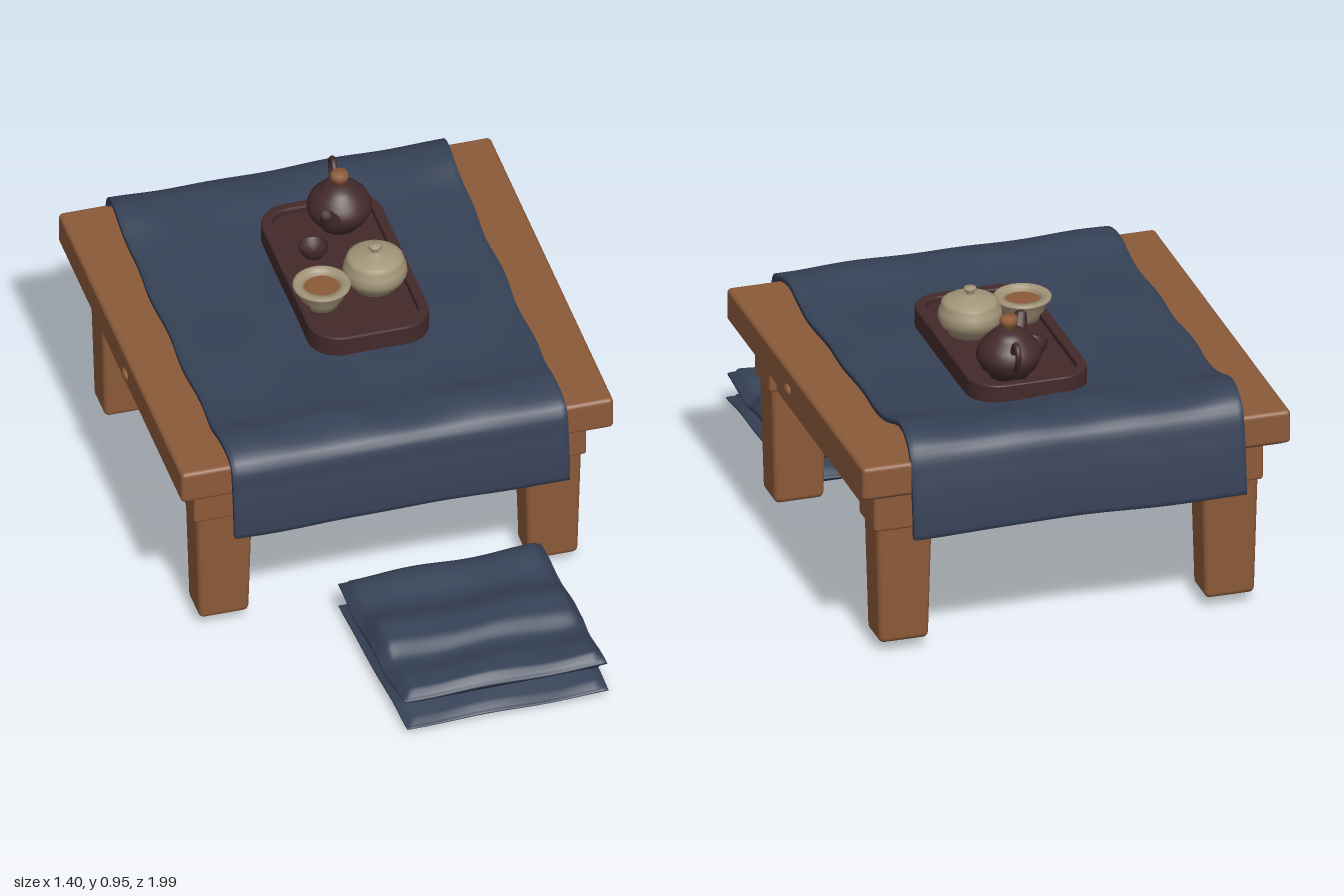
import * as THREE from 'three';
import { mergeVertices } from 'three/addons/utils/BufferGeometryUtils.js';
import { RoundedBoxGeometry } from 'three/addons/geometries/RoundedBoxGeometry.js';

const material = (name, color, side = THREE.FrontSide) =>
  Object.assign(new THREE.MeshStandardMaterial({ color, side }), { name });

export function createModel() {
  const model = new THREE.Group();
  model.name = 'lowTableWithTeaSet';
  const wood = material('wood', 0x8c5a3a);
  const cloth = material('blueCloth', 0x364156);
  const clay = material('darkClay', 0x432a2b, THREE.DoubleSide);
  const ceramic = material('paleCeramic', 0xa39579, THREE.DoubleSide);

  const add = (name, geometry, mat, x = 0, y = 0, z = 0, parent = model) => {
    const mesh = new THREE.Mesh(geometry, mat);
    mesh.name = name;
    mesh.position.set(x, y, z);
    parent.add(mesh);
    return mesh;
  };
  const block = (w, h, d, r = 0.014) => new RoundedBoxGeometry(w, h, d, 3, r);
  const lathe = (points) =>
    new THREE.LatheGeometry(points.map(([x, y]) => new THREE.Vector2(x, y)), 40);
  // Moves every vertex by a rule, then smooths the result
  const reshape = (geometry, rule) => {
    const p = geometry.attributes.position, v = new THREE.Vector3();
    for (let i = 0; i < p.count; i++) {
      rule(v.fromBufferAttribute(p, i));
      p.setXYZ(i, v.x, v.y, v.z);
    }
    geometry.deleteAttribute('uv');
    geometry.deleteAttribute('normal');
    const smooth = mergeVertices(geometry);
    smooth.computeVertexNormals();
    return smooth;
  };
  const ramp = (pairs) => (z) => {
    for (let i = 1; i < pairs.length; i++) {
      const [a, ya] = pairs[i - 1], [b, yb] = pairs[i];
      if (z <= b || i === pairs.length - 1)
        return THREE.MathUtils.lerp(ya, yb, THREE.MathUtils.smoothstep(z, a, b));
    }
  };

  // Table
  const table = new THREE.Group();
  table.name = 'table';
  table.position.z = -0.27;
  model.add(table);
  add('tableTop', block(1.38, 0.11, 1.37), wood, 0, 0.635, 0, table);
  add('tableUnderside', new THREE.BoxGeometry(1.34, 0.008, 1.33), clay, 0, 0.578, 0, table);
  for (const s of [-1, 1]) {
    add('sideApron', block(0.05, 0.148, 1.1, 0.008), wood, s * 0.58, 0.504, 0, table);
    add('endApron', block(1.12, 0.148, 0.05, 0.008), wood, 0, 0.504, s * 0.55, table);
    const peg = add('peg', new THREE.SphereGeometry(0.025, 20, 12), wood, s * 0.69, 0.622, 0.065, table);
    peg.scale.set(0.5, 0.75, 1);
    for (const t of [-1, 1]) {
      add('legBlock', block(0.2, 0.15, 0.155, 0.01), wood, s * 0.527, 0.503, t * 0.525, table);
      const leg = reshape(block(0.185, 0.46, 0.14, 0.02), (v) => {
        const k = THREE.MathUtils.clamp((0.23 - v.y) / 0.46, 0, 1);
        v.x = s * (0.525 + v.x * s * (1 - 0.14 * k));
        v.z *= 1 - 0.07 * k;
      });
      add('leg', leg, wood, 0, 0.27, t * 0.524, table);
    }
  }

  // Runner draped over both ends of the table
  const drape = new THREE.CatmullRomCurve3([
    [-0.975, 0.445], [-0.97, 0.52], [-0.955, 0.63], [-0.935, 0.705], [-0.89, 0.728],
    [-0.8, 0.728], [-0.68, 0.712], [-0.5, 0.704], [-0.2, 0.702], [0.1, 0.702],
    [0.22, 0.706], [0.31, 0.718], [0.39, 0.712], [0.43, 0.69], [0.445, 0.62], [0.458, 0.53], [0.462, 0.458],
  ].map(([z, y]) => new THREE.Vector3(0, y, z)));
  const runner = reshape(new THREE.BoxGeometry(1.07, 0.02, 1, 64, 2, 130), (v) => {
    const t = THREE.MathUtils.clamp(v.z + 0.5, 0, 1), x = v.x, lift = v.y;
    const p = drape.getPointAt(t), d = drape.getTangentAt(t);
    const wave = 0.5 + 0.25 * (Math.sin(9 * x + 14 * p.z) + Math.sin(17 * x - 11 * p.z + 1));
    const flat = Math.max(d.z, 0);
    const back = Math.exp(-(((p.z + 0.82) / 0.1) ** 2)) * flat;
    const front = Math.exp(-(((p.z - 0.32) / 0.07) ** 2)) * flat;
    const corner = THREE.MathUtils.smoothstep(x, 0.25, 0.5) * 0.02 + THREE.MathUtils.smoothstep(-x, 0.35, 0.5) * 0.008;
    const out = lift + wave * 0.006;
    v.set(x - 0.005 + 0.004 * Math.sin(18 * p.z),
      p.y + d.z * out + back * (corner + 0.008 * wave) + front * 0.01 * wave
        + (1 - flat) * 0.005 * Math.sin(7 * x + 1),
      p.z - d.y * out);
  });
  add('tableRunner', runner, cloth);

  // Folded blanket, as two soft layers
  const layer = (name, w, z0, z1, bottom, top) => {
    const geometry = reshape(new THREE.BoxGeometry(2, 2, 2, 44, 6, 50), (v) => {
      const { x, y, z } = v;
      const edge = Math.pow(Math.max(0, 1 - Math.pow(Math.max(Math.abs(x), Math.abs(z)), 18)), 0.5);
      const Z = THREE.MathUtils.lerp(z0, z1, (z + 1) / 2);
      const lo = bottom(Z), hi = top(Z) + 0.006 * Math.sin(5 * x + 9 * Z);
      const mid = (lo + hi) / 2, half = (hi - lo) / 2;
      const bulge = 1 - 0.04 * y * y;
      const X = x * w / 2 * bulge * (1 - 0.02 * z * z);
      v.set(0.168 + X + (Z - 0.67) * 0.05, mid + y * half * (0.35 + 0.65 * edge),
        Z + (bulge - 1) * z * 0.3 - X * 0.02);
    });
    add(name, geometry, cloth);
  };
  layer('lowerBlanketFold', 0.66, 0.345, 0.995, () => 0.006,
    ramp([[0.34, 0.05], [0.5, 0.068], [0.7, 0.06], [0.85, 0.07], [1, 0.045]]));
  layer('upperBlanketFold', 0.665, 0.35, 0.975,
    ramp([[0.35, 0.08], [0.5, 0.062], [0.7, 0.05], [0.85, 0.062], [0.98, 0.085]]),
    ramp([[0.35, 0.15], [0.4, 0.155], [0.52, 0.135], [0.66, 0.168], [0.72, 0.162], [0.8, 0.128], [0.9, 0.145], [0.98, 0.145]]));

  // Tray with a raised rim
  const outline = (Kind, w, d, r) => {
    const s = new Kind(), a = w / 2 - r, b = d / 2 - r;
    s.absarc(a, b, r, 0, Math.PI / 2);
    s.absarc(-a, b, r, Math.PI / 2, Math.PI);
    s.absarc(-a, -b, r, Math.PI, Math.PI * 1.5);
    s.absarc(a, -b, r, Math.PI * 1.5, Math.PI * 2);
    s.closePath();
    return s;
  };
  const slab = (shape, depth) => new THREE.ExtrudeGeometry(shape, {
    depth, curveSegments: 10, bevelSize: 0.005, bevelThickness: 0.005, bevelSegments: 2,
  }).rotateX(-Math.PI / 2);
  const rim = outline(THREE.Shape, 0.374, 0.69, 0.095);
  rim.holes.push(outline(THREE.Path, 0.33, 0.646, 0.075));
  add('trayRim', slab(rim, 0.065), clay, 0.05, 0.71, -0.345);
  add('trayFloor', slab(outline(THREE.Shape, 0.345, 0.66, 0.08), 0.045), clay, 0.05, 0.71, -0.345);

  // Tapered tube, closed at the tip
  const taperedTube = (points, r0, r1) => {
    const curve = new THREE.CatmullRomCurve3(points.map((p) => new THREE.Vector3(...p)));
    const n = 20, sides = 14, geometry = new THREE.TubeGeometry(curve, n, 1, sides);
    let i = 0;
    return reshape(geometry, (v) => {
      const t = Math.floor(i++ / (sides + 1)) / n, c = curve.getPointAt(t);
      v.sub(c).multiplyScalar(t === 1 ? 0 : THREE.MathUtils.lerp(r0, r1, t)).add(c);
    });
  };

  // Teapot
  const pot = new THREE.Group();
  pot.name = 'teapot';
  pot.position.set(0.1, 0.76, -0.58);
  model.add(pot);
  add('teapotBody', lathe([[0, 0], [0.06, 0], [0.066, 0.012], [0.086, 0.032], [0.1, 0.06], [0.1, 0.08],
    [0.089, 0.106], [0.07, 0.126], [0.056, 0.134], [0.056, 0.14], [0.042, 0.15], [0.02, 0.157], [0, 0.158]]), clay, 0, 0, 0, pot);
  add('teapotKnob', lathe([[0, 0.15], [0.017, 0.152], [0.018, 0.164], [0.027, 0.172], [0.029, 0.184],
    [0.024, 0.195], [0, 0.198]]), wood, 0, 0, 0, pot);
  add('teapotSpout', taperedTube([[-0.03, 0.05, 0.05], [-0.055, 0.08, 0.09], [-0.07, 0.118, 0.11], [-0.082, 0.15, 0.128]],
    0.042, 0.016), clay, 0, 0, 0, pot);
  add('teapotHandle', taperedTube([[0.01, 0.11, -0.08], [0.012, 0.14, -0.1], [0.014, 0.152, -0.122],
    [0.014, 0.132, -0.142], [0.014, 0.1, -0.137], [0.012, 0.07, -0.115], [0.01, 0.055, -0.09]], 0.011, 0.008), clay, 0, 0, 0, pot);

  // Small dark cup
  add('smallCup', lathe([[0, 0], [0.028, 0], [0.042, 0.02], [0.046, 0.036], [0.041, 0.037], [0.034, 0.018], [0, 0.012]]),
    clay, -0.02, 0.757, -0.45);

  // Lidded bowl
  add('liddedBowl', lathe([[0, 0], [0.066, 0], [0.07, 0.015], [0.09, 0.03], [0.1, 0.055], [0.096, 0.08],
    [0.085, 0.097], [0.089, 0.103], [0.08, 0.108]]), ceramic, 0.12, 0.76, -0.255);
  add('bowlLid', lathe([[0.084, 0.104], [0.074, 0.112], [0.045, 0.121], [0.014, 0.126], [0.011, 0.135],
    [0.02, 0.143], [0.018, 0.151], [0, 0.154]]), ceramic, 0.12, 0.76, -0.255);

  // Tea cup and its tea
  add('teaCup', lathe([[0, 0], [0.052, 0], [0.056, 0.018], [0.07, 0.034], [0.076, 0.06], [0.088, 0.067],
    [0.09, 0.075], [0.082, 0.079], [0.062, 0.077], [0.056, 0.06], [0.05, 0.03], [0, 0.02]]), ceramic, -0.063, 0.76, -0.21);
  add('tea', new THREE.CircleGeometry(0.056, 32).rotateX(-Math.PI / 2), wood, -0.063, 0.822, -0.21);

  return model;
}
